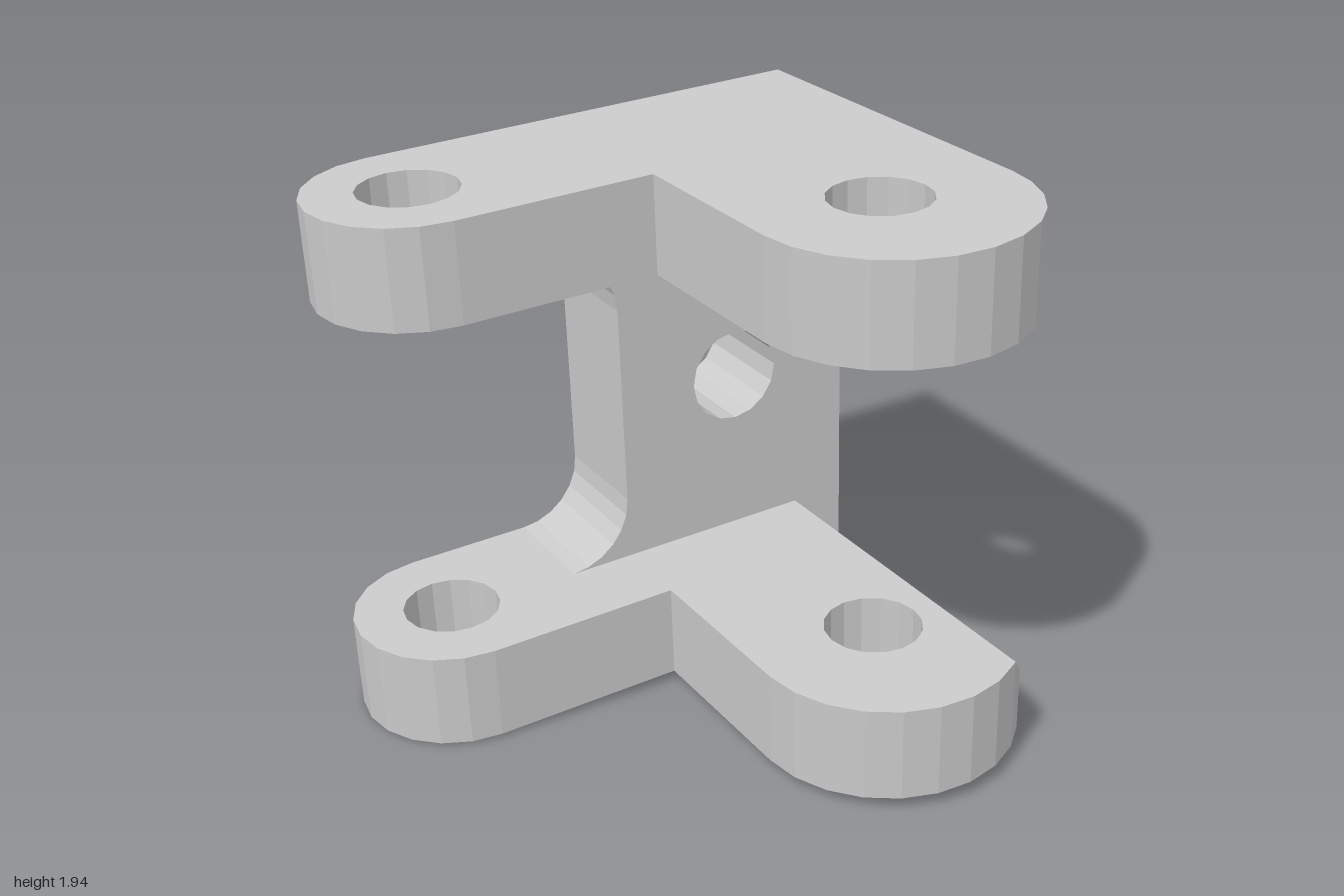
import * as THREE from 'three';

const H = 1.862;     // overall height
const T = 0.338;     // plate thickness
const W = 0.91;      // width of the front arm and the back wall
const BACK = -0.88;  // rear face
const WALL = -0.485; // inner face of the back wall
const CH = 0.2;      // chamfer width
const EDGE = 0.098;  // height left at the chamfered edge
const HOLE = 0.168;

// points along an arc
function arc(cx, cy, r, a0, a1, n) {
  return Array.from({ length: n + 1 }, (_, i) => {
    const a = a0 + (a1 - a0) * i / n;
    return new THREE.Vector2(cx + r * Math.cos(a), cy + r * Math.sin(a));
  });
}

const pt = (x, y) => new THREE.Vector2(x, y);

function shapeWithHoles(points, holes = []) {
  const shape = new THREE.Shape(points);
  for (const [x, y] of holes) {
    shape.holes.push(new THREE.Path(arc(x, y, HOLE, 0, Math.PI * 2, 16).slice(0, -1)));
  }
  return shape;
}

// extrude a plan outline (x, z) upwards from y0
function slab(shape, y0) {
  const g = new THREE.ExtrudeGeometry(shape, { depth: T, bevelEnabled: false });
  g.rotateX(Math.PI / 2);
  g.translate(0, y0 + T, 0);
  return g;
}

export function createModel() {
  const model = new THREE.Group();
  model.name = 'cornerBracket';
  const body = new THREE.Group();
  body.name = 'bracketBody';
  const material = new THREE.MeshStandardMaterial({ color: 0xcccccc, flatShading: true });

  const add = (name, geometry) => {
    geometry.computeVertexNormals();
    const mesh = new THREE.Mesh(geometry, material);
    mesh.name = name;
    body.add(mesh);
  };

  // rounded end of the front arm, split where the chamfer begins
  const r = W / 2, endZ = 0.425;
  const split = Math.acos((r - CH) / r);

  // L-shaped plate without the chamfered strip
  const plate = shapeWithHoles([
    pt(0, BACK), pt(0, WALL), pt(-CH, WALL),
    ...arc(-r, endZ, r, split, Math.PI, 8),
    pt(-W, -0.2),
    ...arc(-1.59, -0.54, 0.34, Math.PI / 2, Math.PI * 1.5, 10),
  ], [[-r, 0.367], [-1.59, -0.54]]);

  // outer strip that carries the chamfer
  const strip = shapeWithHoles([
    pt(-CH, WALL), pt(0, WALL), ...arc(-r, endZ, r, 0, split, 4),
  ]);

  for (const top of [false, true]) {
    const side = top ? 'upper' : 'lower';
    const y0 = top ? H - T : 0;
    add(side + 'Plate', slab(plate, y0));

    // slope the inner face of the strip down to its outer edge
    const g = slab(strip, y0);
    const p = g.attributes.position;
    const inner = top ? H - T : T;
    for (let i = 0; i < p.count; i++) {
      if (Math.abs(p.getY(i) - inner) > 1e-4) continue;
      const h = EDGE + (T - EDGE) * -p.getX(i) / CH;
      p.setY(i, top ? H - h : h);
    }
    add(side + 'ChamferedEdge', g);
  }

  // back wall, filleted into both plates
  const f = 0.23;
  const wall = shapeWithHoles([
    pt(0, T), pt(0, H - T),
    ...arc(-W - f, H - T - f, f, Math.PI / 2, 0, 6),
    ...arc(-W - f, T + f, f, 0, -Math.PI / 2, 6),
  ], [[-r, H / 2]]);
  const wallGeometry = new THREE.ExtrudeGeometry(wall, { depth: WALL - BACK, bevelEnabled: false });
  wallGeometry.translate(0, 0, BACK);
  add('backWall', wallGeometry);

  // the whole bracket leans slightly
  body.rotation.z = 0.039;
  body.position.set(1, 0.075, 0);
  model.add(body);
  return model;
}
